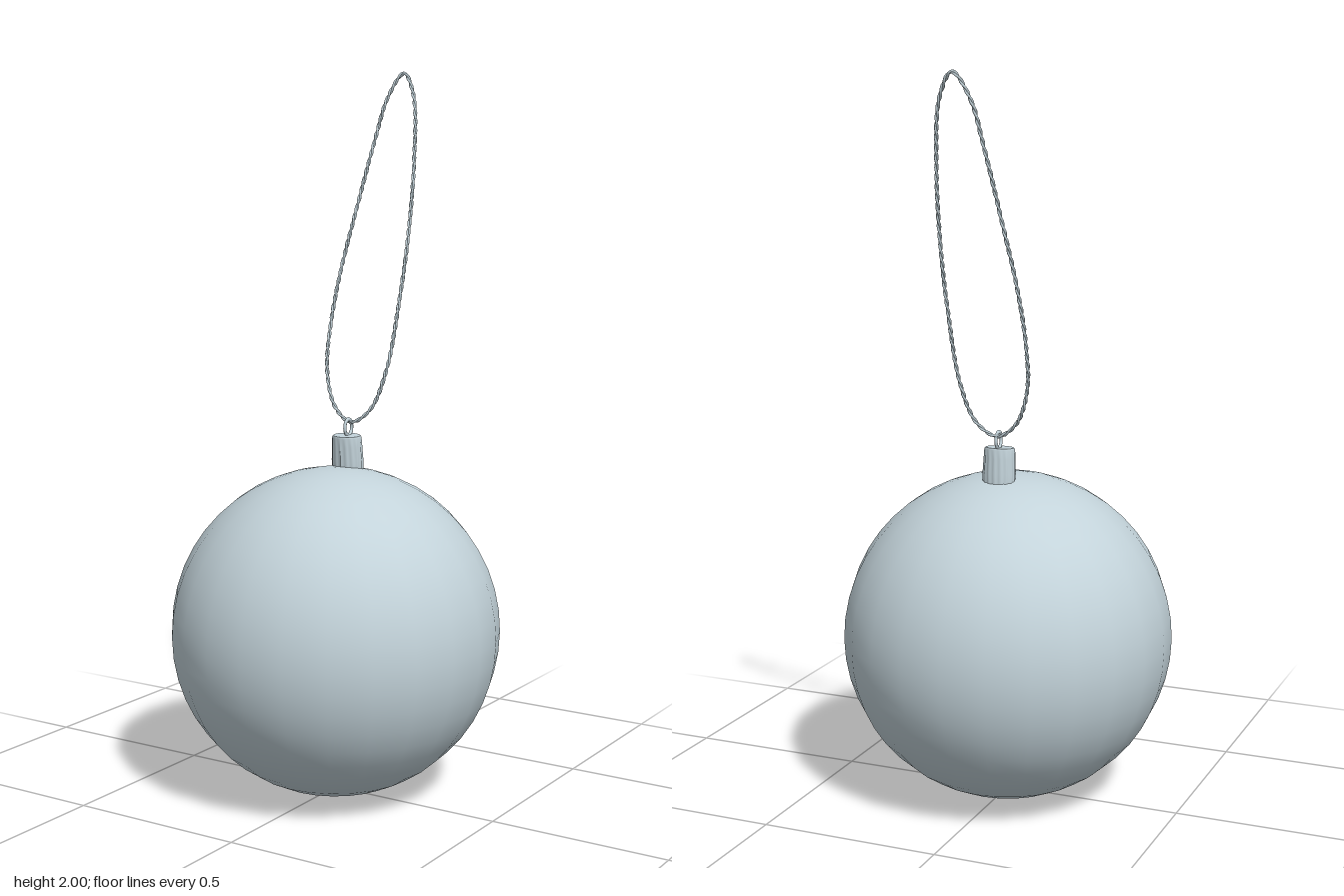
import * as THREE from 'three';

// Strand that winds around a closed guide curve lying in a tilted plane
class StrandCurve extends THREE.Curve {
  constructor(guide, normal, radius, turns, phase) {
    super();
    Object.assign(this, { guide, normal, radius, turns, phase });
  }
  getPoint(t, target = new THREE.Vector3()) {
    const u = ((t % 1) + 1) % 1;
    const side = this.guide.getTangentAt(u).cross(this.normal).normalize();
    const a = this.phase + u * this.turns * Math.PI * 2;
    return target.copy(this.guide.getPointAt(u))
      .addScaledVector(side, Math.cos(a) * this.radius)
      .addScaledVector(this.normal, Math.sin(a) * this.radius);
  }
}

export function createModel() {
  const model = new THREE.Group();
  const silver = new THREE.MeshStandardMaterial({ color: 0xc3d3da });
  silver.name = 'paleSilver';

  const add = (name, geometry, parent = model) => {
    const mesh = new THREE.Mesh(geometry, silver);
    mesh.name = name;
    parent.add(mesh);
    return mesh;
  };

  // Ball
  add('ball', new THREE.SphereGeometry(0.457, 24, 24)).position.y = 0.459;

  // Crimped cap, slightly oval, set behind the top of the ball
  const cap = new THREE.Group();
  cap.name = 'cap';
  cap.position.set(0, 0.9, -0.064);
  cap.rotation.x = 0.06;
  model.add(cap);

  const wallProfile = [[0.044, 0], [0.045, 0.03], [0.043, 0.07], [0.043, 0.094], [0.04, 0.099]]
    .map(([r, y]) => new THREE.Vector2(r, y));
  const wall = new THREE.LatheGeometry(wallProfile, 64);
  const pos = wall.attributes.position;
  for (let i = 0; i < pos.count; i++) {
    const y = pos.getY(i);
    const angle = Math.atan2(pos.getZ(i), pos.getX(i));
    const ripple = y < 0.09 ? 1 + 0.035 * Math.cos(angle * 16) : 1;
    pos.setXYZ(i, pos.getX(i) * ripple, y, pos.getZ(i) * ripple * 0.8);
  }
  wall.computeVertexNormals();
  add('capWall', wall, cap);

  const lid = new THREE.CylinderGeometry(0.04, 0.04, 0.006, 32);
  lid.scale(1, 1, 0.8);
  add('capLid', lid, cap).position.y = 0.096;

  // Wire loop standing on the cap
  const wire = add('wireLoop', new THREE.TorusGeometry(0.018, 0.0045, 8, 24));
  wire.rotation.y = Math.PI / 2;
  wire.scale.y = 1.25;
  wire.position.set(0, 1.02, -0.066);

  // Twisted hanging cord, leaning backward
  const outline = [
    [0, 1.033], [0.055, 1.07], [0.088, 1.18], [0.096, 1.38], [0.093, 1.55],
    [0.075, 1.76], [0.043, 1.93], [0, 1.994], [-0.04, 1.93], [-0.062, 1.81],
    [-0.088, 1.62], [-0.109, 1.45], [-0.116, 1.3], [-0.105, 1.17], [-0.06, 1.07],
  ];
  const lean = 0.288;
  const guide = new THREE.CatmullRomCurve3(
    outline.map(([x, y]) => new THREE.Vector3(x, y, -0.08 - lean * (y - 1.03))), true);
  const normal = new THREE.Vector3(0, lean, 1).normalize();
  const cord = new THREE.Group();
  cord.name = 'cord';
  model.add(cord);
  for (let i = 0; i < 2; i++) {
    const strand = new StrandCurve(guide, normal, 0.0026, 40, i * Math.PI);
    add('cordStrand', new THREE.TubeGeometry(strand, 480, 0.0034, 6, true), cord);
  }

  return model;
}
